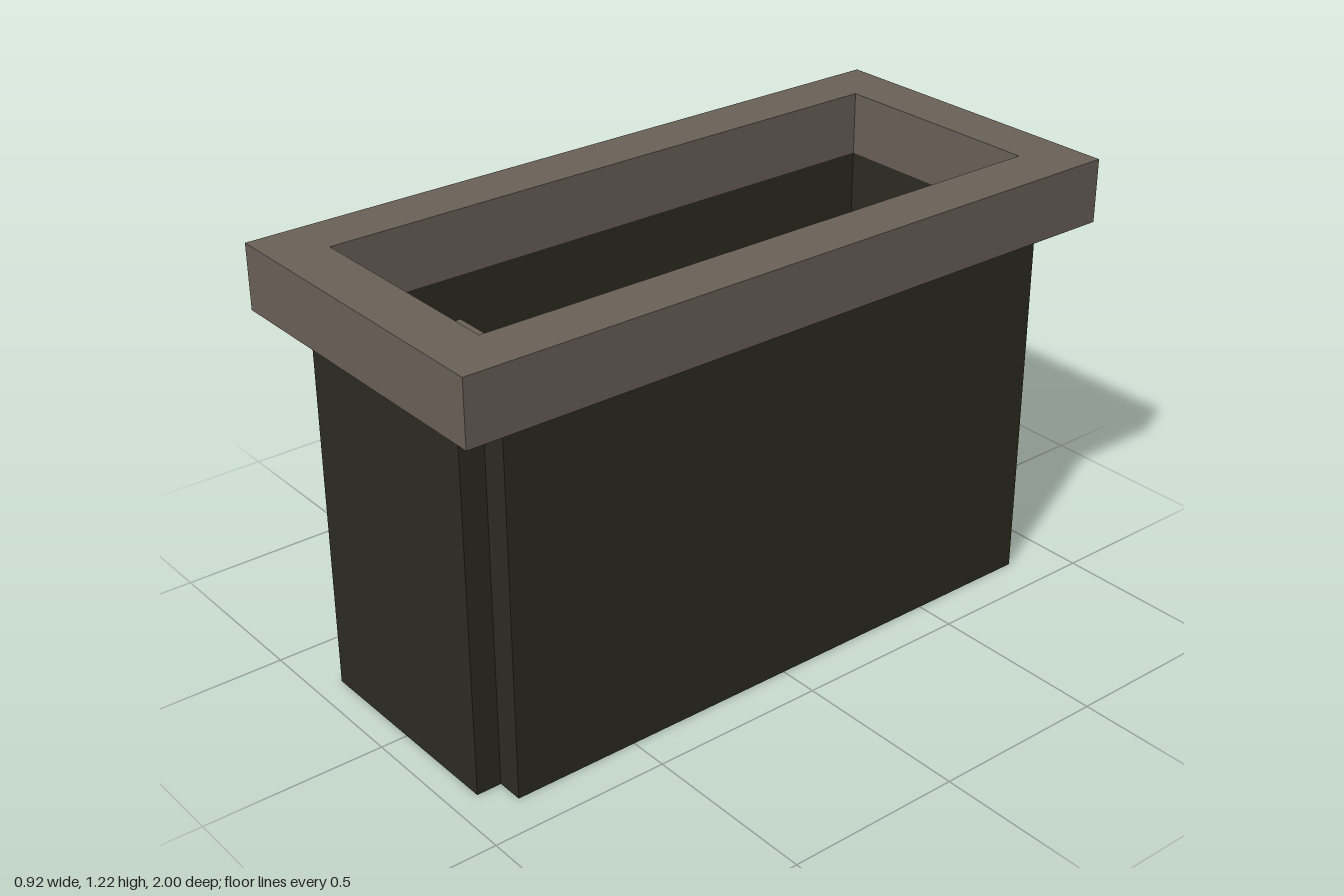
import * as THREE from 'three';

const stone = new THREE.MeshStandardMaterial({ color: 0x6b6158, side: THREE.DoubleSide });
stone.name = 'warm grey stone';
const dark = new THREE.MeshStandardMaterial({ color: 0x2d2c22, side: THREE.DoubleSide });
dark.name = 'dark olive';

const RIM_X = 0.462, RIM_Z = 1, TOP = 1.217, WALL_TOP = 1.04;
const WALL_X = 0.388, WALL_Z = 0.925;
const IN_X = 0.313, IN_Z = 0.855;
const STEPS = 9, STAIR_BACK = -0.753;

// Box given by its min and max corners, optionally without a bottom
function block(name, material, min, max, openBottom = false) {
  const size = max.map((v, i) => v - min[i]);
  const geometry = new THREE.BoxGeometry(...size);
  if (openBottom) {
    const index = Array.from(geometry.index.array);
    index.splice(18, 6);
    geometry.setIndex(index);
    geometry.clearGroups();
  }
  const mesh = new THREE.Mesh(geometry, material);
  mesh.name = name;
  mesh.position.set(...max.map((v, i) => (v + min[i]) / 2));
  return mesh;
}

export function createModel() {
  const model = new THREE.Group();
  model.name = 'stairwell';

  // Walls and hollow rim, mirrored on both axes
  for (const s of [-1, 1]) {
    const xs = (a, b) => (s > 0 ? [a, b] : [-b, -a]);
    const [wx0, wx1] = xs(IN_X, WALL_X);
    const [wz0, wz1] = xs(IN_Z, WALL_Z);
    const [rx0, rx1] = xs(IN_X, RIM_X);
    const [rz0, rz1] = xs(IN_Z, RIM_Z);
    const side = s > 0 ? 'left' : 'right';
    const end = s > 0 ? 'front' : 'back';
    model.add(
      block(side + 'Wall', dark, [wx0, 0, -IN_Z], [wx1, WALL_TOP, IN_Z]),
      block(end + 'Wall', dark, [-IN_X, 0, wz0], [IN_X, WALL_TOP, wz1]),
      block(side + 'Rim', stone, [rx0, WALL_TOP, -IN_Z], [rx1, TOP, IN_Z], true),
      block(end + 'Rim', stone, [-RIM_X, WALL_TOP, rz0], [RIM_X, TOP, rz1], true)
    );
  }

  // Landing at the foot of the stairs
  model.add(block('landing', dark, [-IN_X, 0, -IN_Z], [IN_X, 0.004, STAIR_BACK]));

  // Stairs climbing towards the front: full-height risers and flat treads
  const stairs = new THREE.Group();
  stairs.name = 'stairs';
  const depth = (IN_Z - STAIR_BACK) / STEPS;
  const rise = 1.035 / STEPS;
  for (let i = 0; i < STEPS; i++) {
    const h = rise * (i + 1), z = STAIR_BACK + depth * i;
    const riser = new THREE.Mesh(new THREE.PlaneGeometry(IN_X * 2, h), dark);
    riser.name = 'riser';
    riser.rotation.y = Math.PI;
    riser.position.set(0, h / 2, z);
    const tread = new THREE.Mesh(new THREE.PlaneGeometry(IN_X * 2, depth), stone);
    tread.name = 'tread';
    tread.rotation.x = -Math.PI / 2;
    tread.position.set(0, h, z + depth / 2);
    stairs.add(riser, tread);
  }
  model.add(stairs);
  return model;
}
